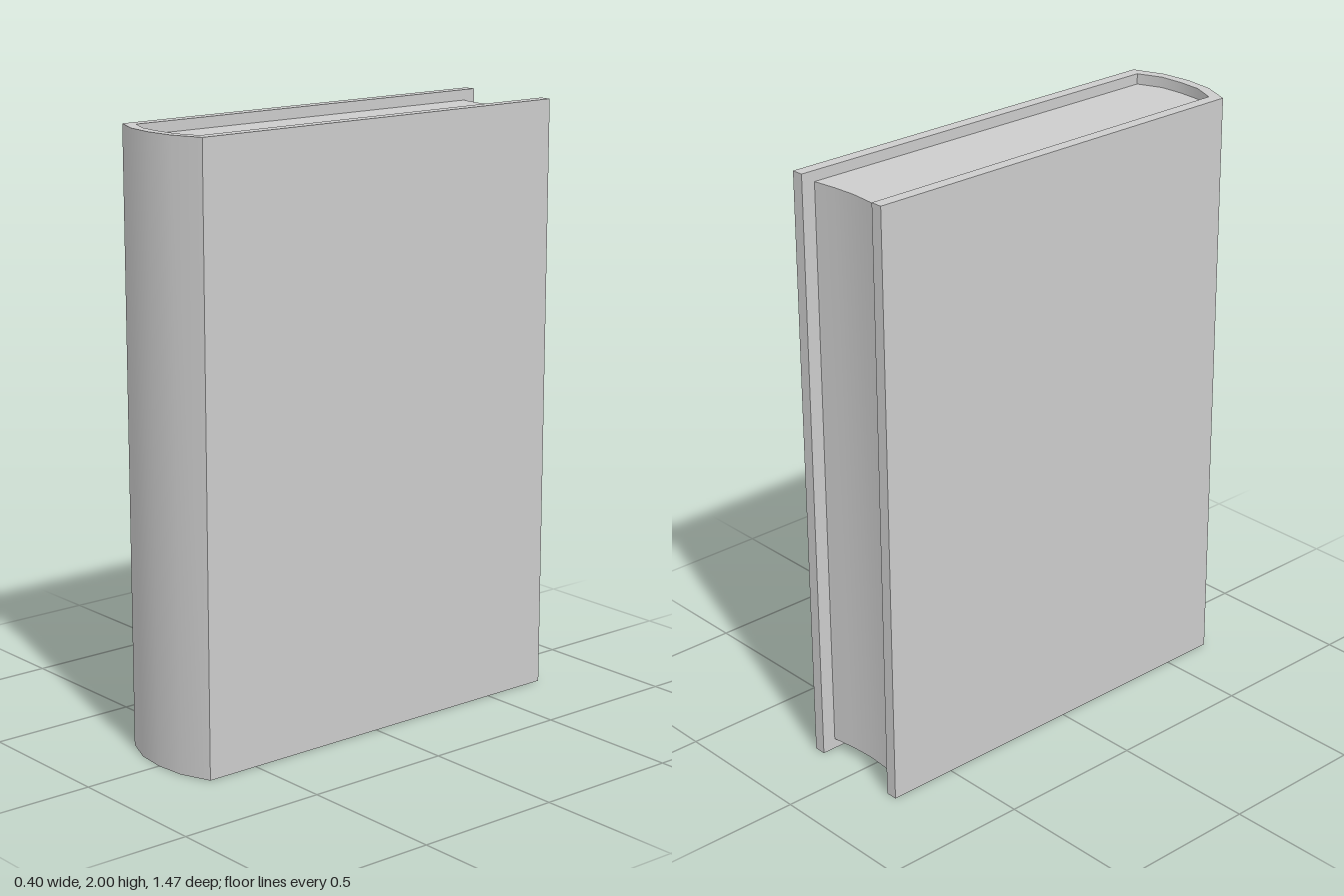
import * as THREE from 'three';
import { toCreasedNormals } from 'three/addons/utils/BufferGeometryUtils.js';

const grey = new THREE.MeshStandardMaterial({ color: 0xcccccc });
grey.name = 'light grey';

// Mirrors a half outline of [x, z] points, running from the centre line outwards
const mirror = (half) => [
  ...half.slice().reverse().map(([x, z]) => [-x, z]),
  ...half.filter(([x]) => x > 0),
];

// Extrudes a plan outline of [x, z] points upwards from y0 to y1
function prism(name, outline, y0, y1) {
  const shape = new THREE.Shape(outline.map(([x, z]) => new THREE.Vector2(x, -z)));
  const geometry = new THREE.ExtrudeGeometry(shape, { depth: y1 - y0, bevelEnabled: false });
  geometry.rotateX(-Math.PI / 2).translate(0, y0, 0);
  const mesh = new THREE.Mesh(toCreasedNormals(geometry, 0.6), grey);
  mesh.name = name;
  return mesh;
}

export function createModel() {
  const book = new THREE.Group();
  book.name = 'book';

  // Rounded spine, outside and inside
  const spineOuter = mirror([[0, 0.73], [0.1, 0.72], [0.2, 0.68]]);
  const spineInner = mirror([[0, 0.695], [0.08, 0.69], [0.16, 0.657]]);
  // Hollow fore edge of the page block
  const foreEdge = mirror([[0, -0.672], [0.08, -0.677], [0.16, -0.688]]);

  // Cover: two boards joined by the spine, in one piece
  book.add(prism('cover', [
    [-0.2, -0.735], ...spineOuter, [0.2, -0.735],
    [0.16, -0.735], ...spineInner.slice().reverse(), [-0.16, -0.735],
  ], 0, 2));

  // Page block, set in from the cover at the top, bottom and fore edge
  book.add(prism('pages', [...spineInner, ...foreEdge.slice().reverse()], 0.035, 1.965));

  return book;
}
